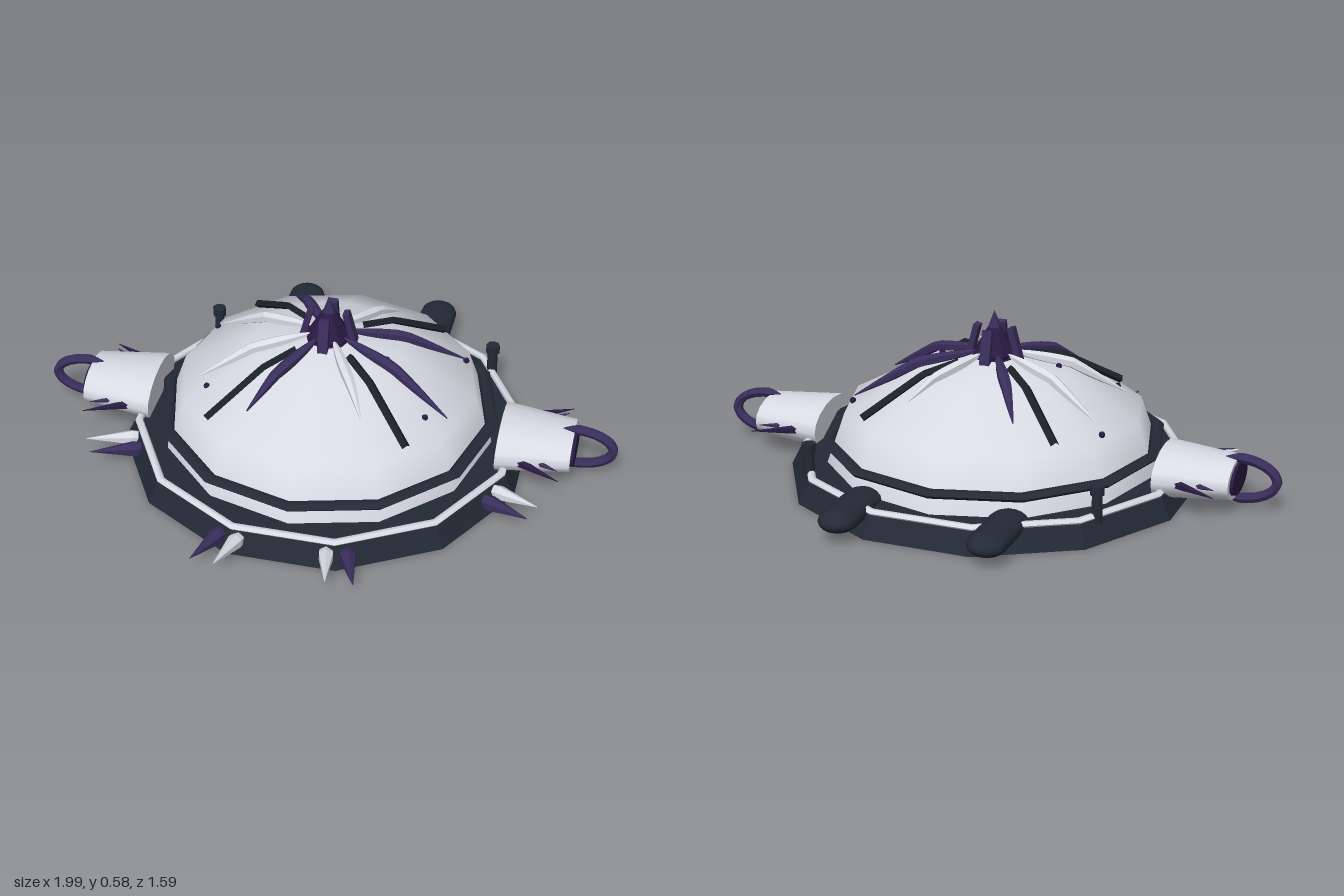
import * as THREE from 'three';

const V = (x, y, z) => new THREE.Vector3(x, y, z);
const mat = (color, flatShading = false) => new THREE.MeshStandardMaterial({ color, flatShading });

export function createModel() {
  const root = new THREE.Group();
  const hull = new THREE.Group();
  hull.name = 'hull';
  hull.position.z = -0.03;
  root.add(hull);

  const white = mat(0xd8dae4), whiteFlat = mat(0xd8dae4, true);
  const slate = mat(0x232a36), slateFlat = mat(0x232a36, true);
  const black = mat(0x1b2028, true);
  const purple = mat(0x3a2e5c, true), darkPurple = mat(0x291a42, true);

  const add = (name, geo, material, x = 0, y = 0, z = 0, parent = hull) => {
    const m = new THREE.Mesh(geo, material);
    m.name = name;
    m.position.set(x, y, z);
    parent.add(m);
    return m;
  };

  // Faceted ring with a six-sided section
  const ring = (r, hw, hh) => {
    const pts = [];
    for (let i = 0; i <= 6; i++) {
      const a = (i / 6) * Math.PI * 2;
      pts.push(new THREE.Vector2(r + hw * Math.cos(a), hh * Math.sin(a)));
    }
    return new THREE.LatheGeometry(pts, 12);
  };

  // Tube along straight pieces whose radius follows a rule of t
  const taper = (pts, radius, sides = 6, n = 12) => {
    const path = new THREE.CurvePath();
    for (let i = 1; i < pts.length; i++) path.add(new THREE.LineCurve3(pts[i - 1], pts[i]));
    const g = new THREE.TubeGeometry(path, n, 1, sides);
    const p = g.attributes.position, v = V(0, 0, 0);
    for (let i = 0; i < p.count; i++) {
      const t = Math.floor(i / (sides + 1)) / n;
      const c = path.getPointAt(t);
      v.fromBufferAttribute(p, i).sub(c).multiplyScalar(radius(t)).add(c);
      p.setXYZ(i, v.x, v.y, v.z);
    }
    g.computeVertexNormals();
    return g;
  };

  // Twelve-sided base with a pale trim
  const base = add('base', new THREE.CylinderGeometry(0.665, 0.7, 0.07, 12), slateFlat, 0, 0.035, 0);
  const trim = add('baseTrim', ring(0.65, 0.014, 0.012), white, 0, 0.076, 0);
  base.rotation.y = trim.rotation.y = Math.PI / 12;

  // Dome and its belt
  const profile = [[0.57, 0.06], [0.505, 0.245], [0.255, 0.382], [0, 0.435]];
  add('dome', new THREE.LatheGeometry(profile.map(([r, y]) => new THREE.Vector2(r, y)), 12), white);
  add('domeBelt', ring(0.563, 0.024, 0.014), slate, 0, 0.14, 0);

  // Height of the dome at a radius
  const domeY = (r) => {
    for (let i = 1; i < profile.length; i++) {
      const [r0, y0] = profile[i - 1], [r1, y1] = profile[i];
      if (r >= r1) return y0 + ((y1 - y0) * (r0 - r)) / (r0 - r1);
    }
    return 0.435;
  };
  const onDome = (r, deg, lift) => {
    const a = THREE.MathUtils.degToRad(deg);
    return V(r * Math.cos(a), domeY(r) + lift, r * Math.sin(a));
  };

  // Dark diagonal strips
  for (const deg of [45, 135, 225, 315]) {
    const pts = [0.13, 0.255, 0.475].map((r) => onDome(r, deg, 0.004));
    add('domeStrip', taper(pts, () => 0.015, 4), black);
  }
  // Leaf-shaped blades spreading from the crown
  const blade = (deg, r, material) => {
    const pts = [0.05, 0.255, r].map((q) => onDome(q, deg, 0.012));
    add('domeBlade', taper(pts, (t) => 0.002 + 0.018 * Math.sin(Math.PI * Math.pow(t, 0.8))), material);
  };
  for (const s of [1, -1]) {
    blade(21 * s, 0.47, purple);
    blade(120 * s, 0.39, purple);
    blade(159 * s, 0.44, whiteFlat);
    blade(60 * s, 0.36, whiteFlat);
  }

  // Crown spire with four leaning prongs
  add('spireBody', new THREE.CylinderGeometry(0.022, 0.08, 0.1, 8), darkPurple, 0, 0.47, 0);
  add('spireFoot', new THREE.CylinderGeometry(0.08, 0.07, 0.03, 8), darkPurple, 0, 0.42, 0);
  add('spireTip', new THREE.ConeGeometry(0.025, 0.065, 6), purple, 0, 0.545, 0);
  for (let i = 0; i < 4; i++) {
    const arm = new THREE.Group();
    arm.name = 'spireProng';
    arm.rotation.y = (i * Math.PI) / 2;
    hull.add(arm);
    add('prong', new THREE.BoxGeometry(0.02, 0.12, 0.034), purple, 0.075, 0.465, 0, arm).rotation.z = 0.26;
  }

  for (const s of [1, -1]) {
    // Side pods: flattened tapering cylinders with a dark mouth
    const pod = new THREE.Group();
    pod.name = s > 0 ? 'leftPod' : 'rightPod';
    pod.position.set(0, 0.105, 0);
    pod.rotation.y = s > 0 ? 0 : Math.PI;
    hull.add(pod);
    const tube = add('podBody', new THREE.CylinderGeometry(0.122, 0.158, 0.245, 16), white, 0.722, 0, 0, pod);
    const mouth = add('podMouth', new THREE.CylinderGeometry(0.096, 0.096, 0.02, 16), darkPurple, 0.845, 0, 0, pod);
    for (const m of [tube, mouth]) {
      m.rotation.z = -Math.PI / 2;
      m.scale.x = 0.54;
    }
    // Hooped handle
    const hoop = [];
    for (let i = 0; i <= 14; i++) {
      const a = ((i / 14) * 2 - 1) * 1.9;
      hoop.push(V(0.845 + 0.133 * Math.cos(a), 0.07 * Math.sin(a), 0));
    }
    add('podHandle', taper(hoop, (t) => Math.min(0.017, 0.002 + 0.12 * Math.min(t, 1 - t)), 6, 32), purple, 0, 0, 0, pod);
    // Thorns on the pod flanks
    for (const k of [1, -1]) {
      add('podThorn', taper([V(0.66, 0, 0.12 * k), V(0.82, 0, 0.2 * k)], (t) => 0.018 * (1 - t) + 0.001, 6, 4), darkPurple, 0, 0, 0, pod);
      add('podThornSmall', taper([V(0.72, 0, 0.11 * k), V(0.81, 0.01, 0.16 * k)], (t) => 0.014 * (1 - t) + 0.001, 6, 4), purple, 0, 0, 0, pod);
    }

    // Spikes around the front rim
    const spike = (from, to, r, m) =>
      add('rimSpike', taper([V(...from), V(...to)], (t) => r * Math.min(1, 0.4 + t * 3) * (1 - t) + 0.001, 6, 8), m);
    spike([0.2 * s, 0.035, 0.6], [0.265 * s, 0.06, 0.79], 0.036, purple);
    spike([0.14 * s, 0.04, 0.62], [0.18 * s, 0.078, 0.815], 0.034, whiteFlat);
    spike([0.57 * s, 0.035, 0.26], [0.745 * s, 0.06, 0.355], 0.036, purple);
    spike([0.59 * s, 0.04, 0.21], [0.77 * s, 0.078, 0.31], 0.034, whiteFlat);

    // Rounded rear nacelles
    const nacelle = add('rearNacelle', new THREE.CapsuleGeometry(0.065, 0.18, 6, 14), slate, 0.25 * s, 0.068, -0.615);
    nacelle.rotation.x = Math.PI / 2;
    nacelle.scale.z = 0.57;

    // Rear posts with caps
    add('rearPost', new THREE.CylinderGeometry(0.017, 0.019, 0.14, 8), slate, 0.5 * s, 0.11, -0.4);
    add('rearPostCap', new THREE.CylinderGeometry(0.024, 0.024, 0.03, 8), slate, 0.5 * s, 0.165, -0.4);

    // Small studs on the dome
    for (const [x, z] of [[0.44, -0.18], [0.37, 0.2], [0.21, 0.05]]) {
      add('domeStud', new THREE.SphereGeometry(0.011, 8, 6), darkPurple, x * s, domeY(Math.hypot(x, z)), z);
    }
  }
  return root;
}
